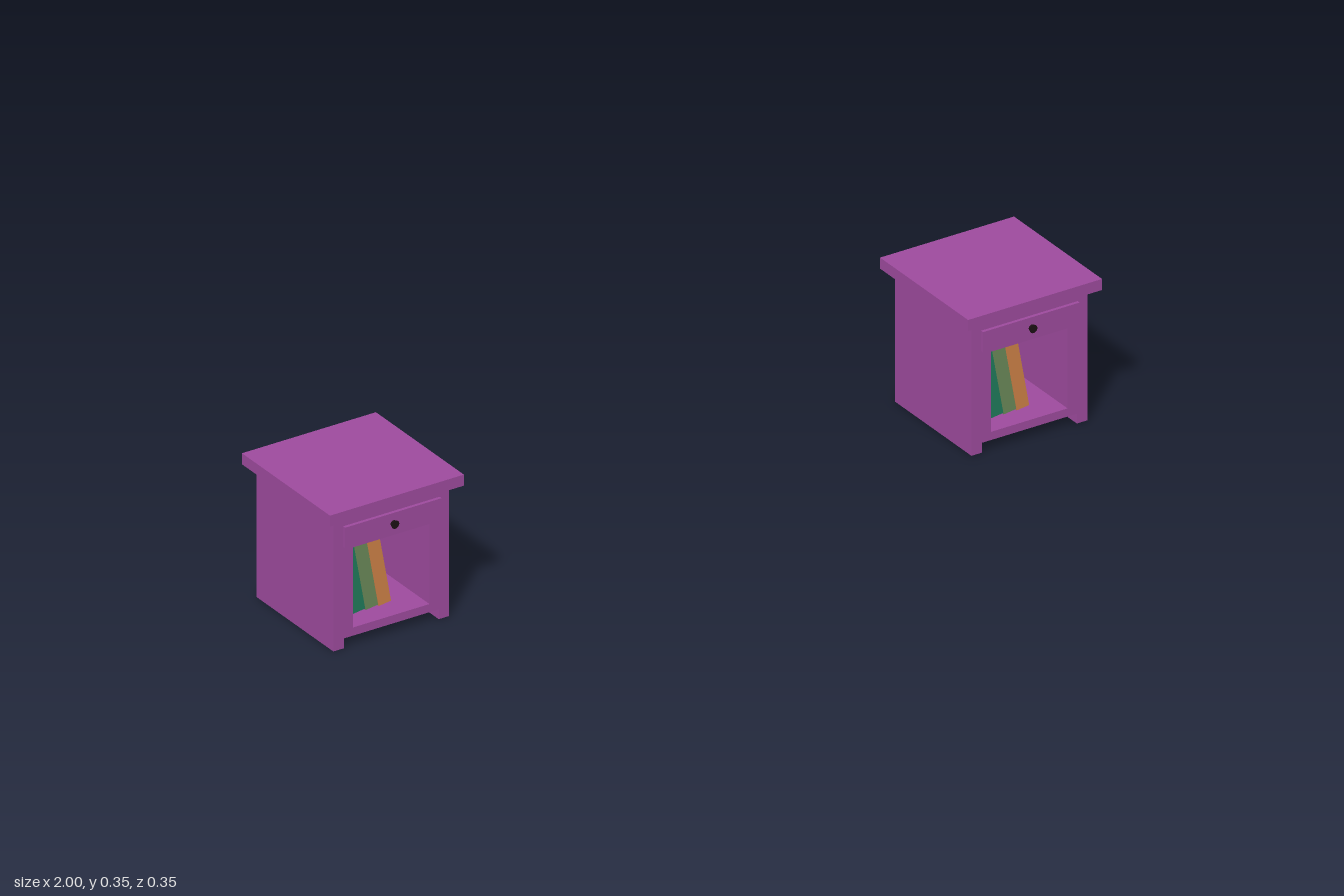
import * as THREE from 'three';

const mat = (name, color) => {
  const m = new THREE.MeshStandardMaterial({ color });
  m.name = name;
  return m;
};

const purple = mat('purple paint', 0x9c4a9c);
const black = mat('black knob', 0x1c1014);
const bookColours = [
  mat('green cover', 0x1f7a5a),
  mat('olive cover', 0x6a8858),
  mat('orange cover', 0xcc8046),
];

function add(group, name, geometry, material, x = 0, y = 0, z = 0) {
  const mesh = new THREE.Mesh(geometry, material);
  mesh.name = name;
  mesh.position.set(x, y, z);
  group.add(mesh);
  return mesh;
}

// Front outline of the cabinet with a low gap between its two runner feet
function cabinetOutline() {
  const s = new THREE.Shape();
  s.moveTo(-0.15, 0);
  s.lineTo(-0.123, 0);
  s.lineTo(-0.123, 0.024);
  s.lineTo(0.123, 0.024);
  s.lineTo(0.123, 0);
  s.lineTo(0.15, 0);
  s.lineTo(0.15, 0.322);
  s.lineTo(-0.15, 0.322);
  s.closePath();
  return s;
}

function extrude(shape, depth) {
  return new THREE.ExtrudeGeometry(shape, { depth, bevelEnabled: false });
}

// Upright book leaning to the left, its foot resting on the shelf
function bookGeometry() {
  const s = new THREE.Shape();
  s.moveTo(0, 0);
  s.lineTo(0.032, 0.004);
  s.lineTo(0.001, 0.176);
  s.lineTo(-0.032, 0.172);
  s.closePath();
  return extrude(s, 0.2);
}

function createNightstand() {
  const g = new THREE.Group();

  // Cabinet with an open compartment, closed at the back
  const body = cabinetOutline();
  const hole = new THREE.Path();
  hole.moveTo(-0.099, 0.044);
  hole.lineTo(-0.099, 0.24);
  hole.lineTo(0.099, 0.24);
  hole.lineTo(0.099, 0.044);
  hole.closePath();
  body.holes.push(hole);
  add(g, 'cabinet', extrude(body, 0.281), purple, 0, 0, -0.13);
  add(g, 'backPanel', extrude(cabinetOutline(), 0.021), purple, 0, 0, -0.151);

  // Overhanging top
  add(g, 'tabletop', new THREE.BoxGeometry(0.347, 0.027, 0.347), purple, 0, 0.3355, 0);

  // Drawer front and round knob
  add(g, 'drawerFront', new THREE.BoxGeometry(0.25, 0.05, 0.009), purple, 0, 0.274, 0.1545);
  const knob = add(g, 'knob', new THREE.CylinderGeometry(0.01, 0.007, 0.009, 16), black, 0, 0.274, 0.163);
  knob.rotation.x = Math.PI / 2;

  // Row of leaning books
  bookColours.forEach((m, i) => {
    add(g, 'book' + (i + 1), bookGeometry(), m, -0.066 + i * 0.0335, 0.045, -0.1);
  });
  return g;
}

export function createModel() {
  const model = new THREE.Group();
  model.name = 'nightstands';
  for (const [name, x] of [['rightNightstand', -0.8265], ['leftNightstand', 0.8265]]) {
    const stand = createNightstand();
    stand.name = name;
    stand.position.x = x;
    model.add(stand);
  }
  return model;
}
